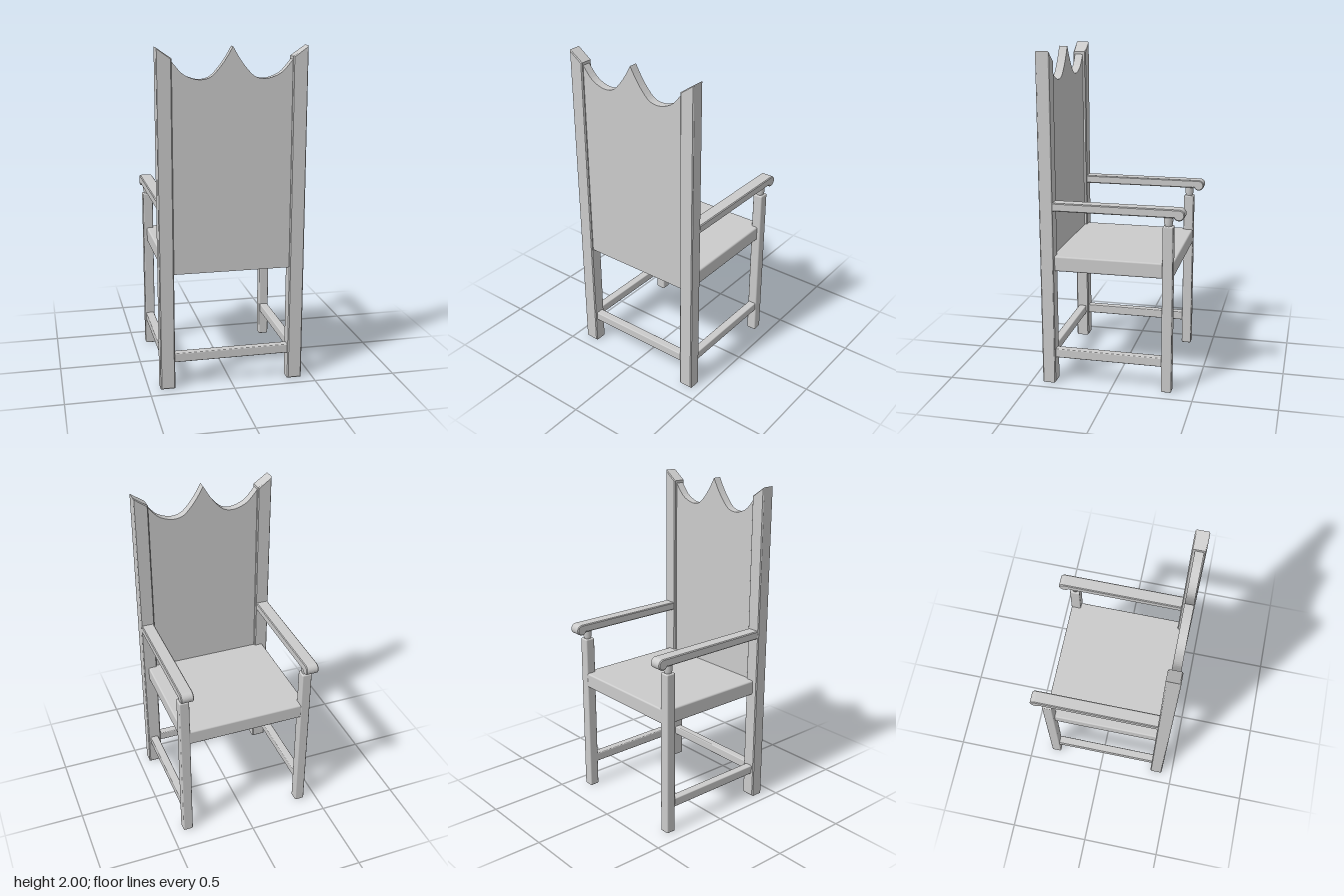
import * as THREE from 'three';
import { RoundedBoxGeometry } from 'three/addons/geometries/RoundedBoxGeometry.js';

const material = new THREE.MeshStandardMaterial({ color: 0xcccccc });

function addMesh(parent, name, geometry) {
  const mesh = new THREE.Mesh(geometry, material);
  mesh.name = name;
  parent.add(mesh);
  return mesh;
}

// Softly eased timber given by its minimum and maximum corners
function timber(parent, name, [x0, y0, z0], [x1, y1, z1], radius = 0.006) {
  const geometry = new RoundedBoxGeometry(x1 - x0, y1 - y0, z1 - z0, 2, radius);
  geometry.translate((x0 + x1) / 2, (y0 + y1) / 2, (z0 + z1) / 2);
  return addMesh(parent, name, geometry);
}

// Extrusion between two depths with an eased edge that stays inside the outline
function slab(shape, z0, z1, bevel) {
  const geometry = new THREE.ExtrudeGeometry(shape, {
    depth: z1 - z0 - 2 * bevel, curveSegments: 16,
    bevelEnabled: bevel > 0, bevelSize: bevel, bevelThickness: bevel,
    bevelOffset: -bevel, bevelSegments: 1,
  });
  return geometry.translate(0, 0, z0 + bevel);
}

function createBackPanel(parent) {
  // Two scallops meeting in a central point
  const half = [[0, 2], [0.035, 1.94], [0.075, 1.885], [0.125, 1.835],
    [0.18, 1.82], [0.235, 1.83], [0.29, 1.86], [0.35, 1.93]]
    .map(([x, y]) => new THREE.Vector2(x, y));
  const right = new THREE.SplineCurve(half).getPoints(28);
  const left = right.slice(1).map((p) => new THREE.Vector2(-p.x, p.y));
  const outline = [new THREE.Vector2(-0.35, 0.705), new THREE.Vector2(0.35, 0.705),
    ...right.reverse(), ...left];
  addMesh(parent, 'backPanel', slab(new THREE.Shape(outline), 0.368, 0.418, 0));
}

function createBackPost(parent, side) {
  // Top slopes down towards the panel
  const points = [[0.345, 0], [0.432, 0], [0.432, 2], [0.345, 1.94]]
    .map(([x, y]) => new THREE.Vector2(side * x, y));
  addMesh(parent, 'backPost', slab(new THREE.Shape(points), 0.35, 0.43, 0.006));
}

function createArm(parent, side) {
  // Side profile: straight rest ending in a rounded hand grip
  const shape = new THREE.Shape();
  shape.moveTo(-0.355, 1.08);
  shape.lineTo(-0.355, 1.13);
  shape.lineTo(0.395, 1.13);
  shape.absarc(0.395, 1.097, 0.033, Math.PI / 2, -Math.PI * 0.85, true);
  shape.lineTo(0.36, 1.08);
  shape.closePath();
  const arm = slab(shape, -0.039, 0.039, 0.005);
  arm.rotateY(Math.PI / 2);
  arm.translate(side * 0.39, 0, 0);
  addMesh(parent, 'armRest', arm);
}

function createFrontLeg(parent, side) {
  const x = side * 0.39;
  timber(parent, 'frontLeg', [x - 0.031, 0, -0.362], [x + 0.031, 1.025, -0.3], 0.008);
  // Turned neck between the leg and the arm
  const profile = [[0.021, 1.015], [0.021, 1.03], [0.026, 1.04], [0.026, 1.09]]
    .map(([r, y]) => new THREE.Vector2(r, y));
  addMesh(parent, 'armSupport', new THREE.LatheGeometry(profile, 20)).position.set(x, 0, -0.331);
}

export function createModel() {
  const chair = new THREE.Group();
  chair.name = 'armchair';

  createBackPanel(chair);
  timber(chair, 'seat', [-0.4, 0.705, -0.36], [0.4, 0.798, 0.37], 0.01);
  timber(chair, 'backStretcher', [-0.355, 0.16, 0.365], [0.355, 0.215, 0.415]);

  for (const side of [-1, 1]) {
    const frame = new THREE.Group();
    frame.name = side > 0 ? 'leftFrame' : 'rightFrame';
    createBackPost(frame, side);
    createFrontLeg(frame, side);
    createArm(frame, side);
    timber(frame, 'sideStretcher', [side * 0.39 - 0.025, 0.16, -0.31], [side * 0.39 + 0.025, 0.215, 0.36]);
    chair.add(frame);
  }
  return chair;
}
